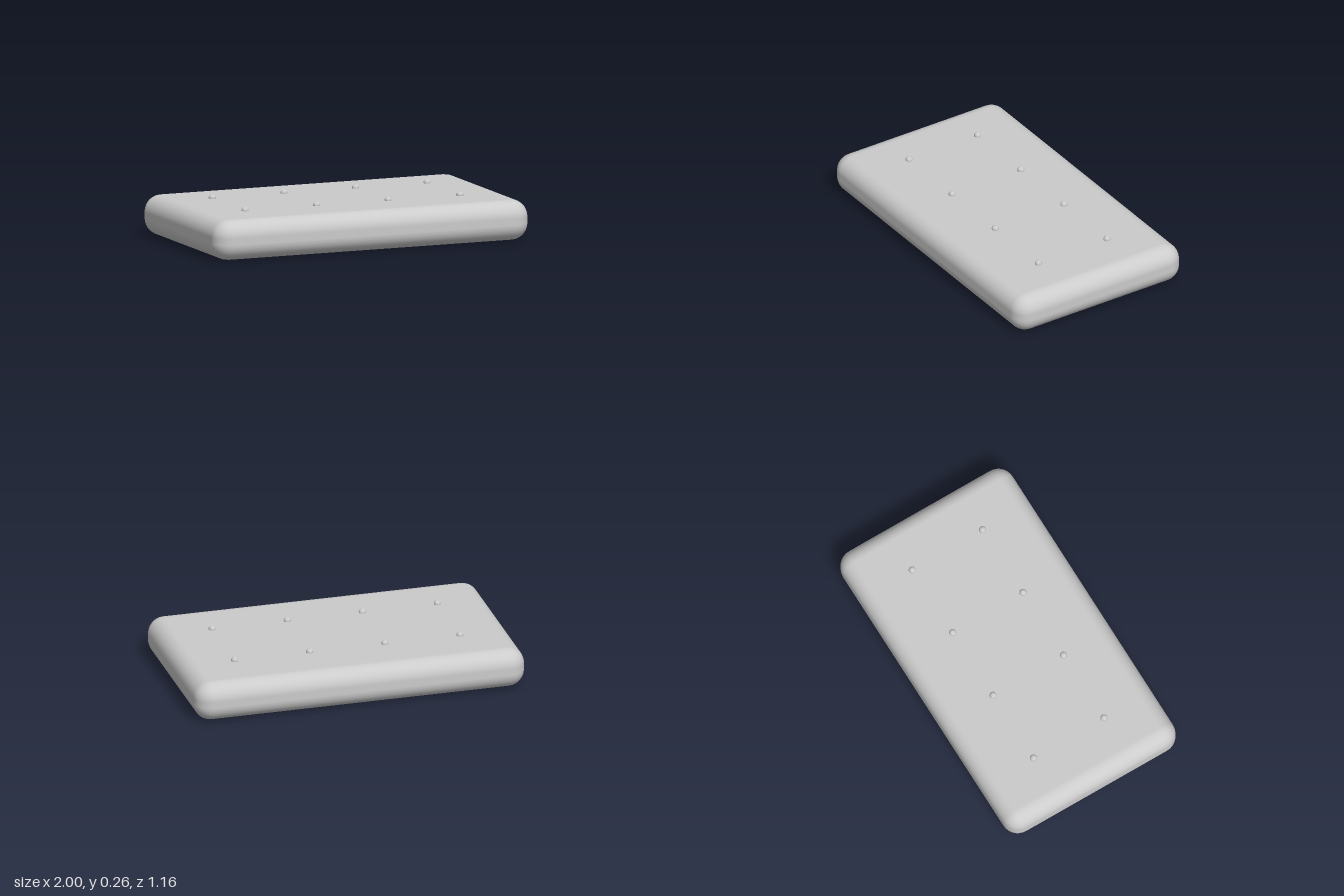
import * as THREE from 'three';
import { RoundedBoxGeometry } from 'three/addons/geometries/RoundedBoxGeometry.js';

export function createModel() {
  const model = new THREE.Group();
  const material = new THREE.MeshStandardMaterial({ color: 0xcccccc });
  const width = 2, height = 0.238, depth = 1.16;

  // Soft padded slab
  const cushion = new THREE.Mesh(new RoundedBoxGeometry(width, height, depth, 4, 0.1), material);
  cushion.name = 'cushion';
  cushion.position.y = height / 2;
  model.add(cushion);

  // Two rows of four tufting buttons, half sunk into the top
  const buttons = new THREE.Group();
  buttons.name = 'buttons';
  const buttonGeometry = new THREE.SphereGeometry(0.021, 16, 12);
  for (const z of [-0.24, 0.24]) {
    for (let i = 0; i < 4; i++) {
      const button = new THREE.Mesh(buttonGeometry, material);
      button.name = 'button';
      button.position.set((i - 1.5) * 0.455, height + 0.003, z);
      buttons.add(button);
    }
  }
  model.add(buttons);

  return model;
}
